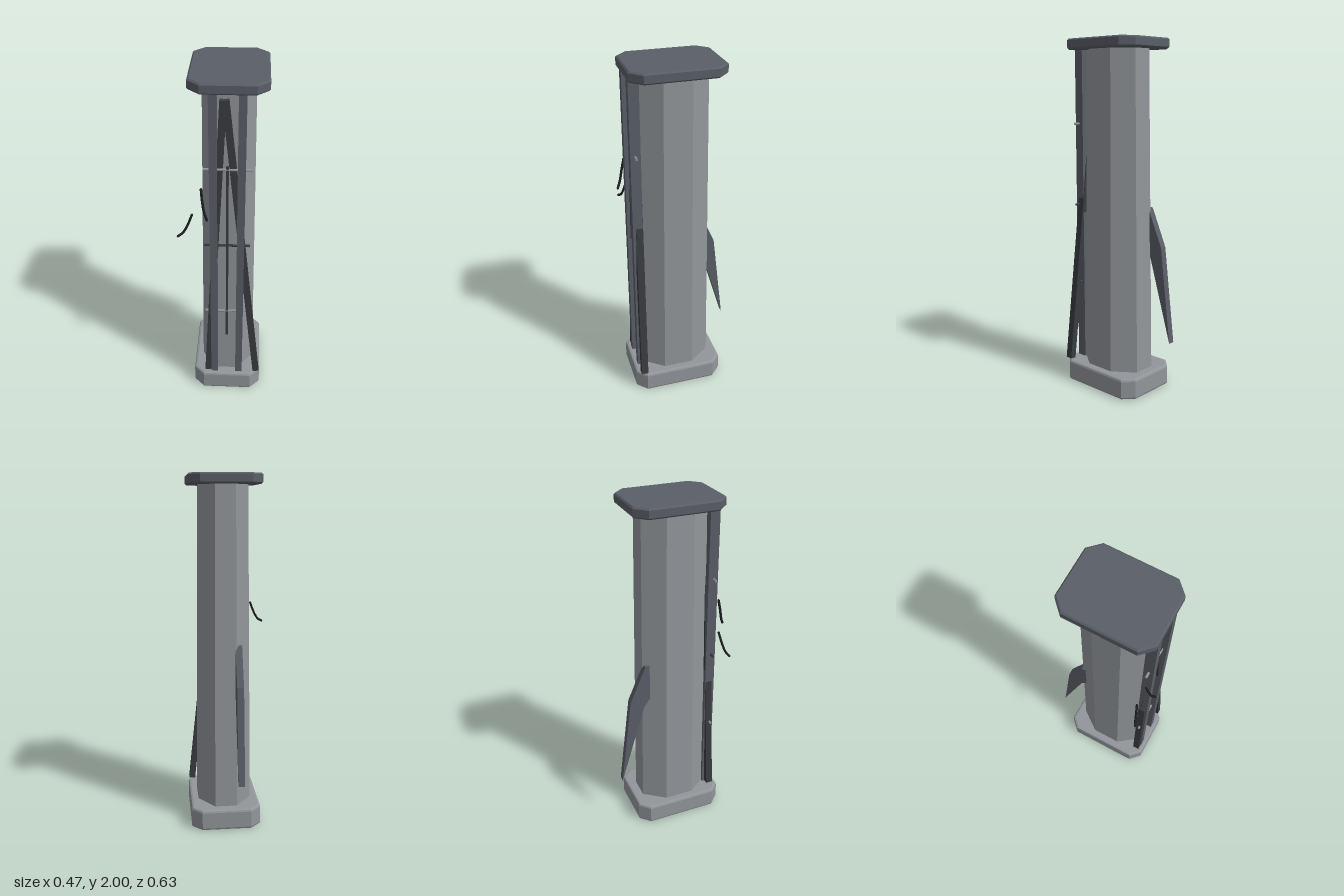
import * as THREE from 'three';

const material = (name, color, side = THREE.FrontSide) => {
  const m = new THREE.MeshStandardMaterial({ color, side });
  m.name = name;
  return m;
};

export function createModel() {
  const root = new THREE.Group();
  root.name = 'pylon';
  const stone = material('concrete grey', 0x92969a);
  const slate = material('slate metal', 0x5a5e67);
  const dark = material('dark metal', 0x3a3b40);
  const black = material('cable black', 0x1e1f22);
  const CX = 0.035, CZ = 0.033;

  const add = (name, geometry, mat) => {
    const mesh = new THREE.Mesh(geometry, mat);
    mesh.name = name;
    root.add(mesh);
    return mesh;
  };

  // Slab with cut corners and a bevelled rim
  const slab = (name, w, d, y0, y1, cut, bevel, segments, z, mat) => {
    const a = w / 2 - bevel, b = d / 2 - bevel, c = cut;
    const corners = [[a, b - c], [a - c, b], [c - a, b], [-a, b - c],
      [-a, c - b], [c - a, -b], [a - c, -b], [a, c - b]];
    const shape = new THREE.Shape(corners.map(([x, y]) => new THREE.Vector2(x, y)));
    const g = new THREE.ExtrudeGeometry(shape, {
      depth: y1 - y0 - 2 * bevel, bevelEnabled: true, bevelSize: bevel,
      bevelThickness: bevel, bevelSegments: segments,
    });
    g.rotateX(-Math.PI / 2);
    g.translate(CX, y0 + bevel, z);
    add(name, g, mat);
  };
  slab('base', 0.4, 0.536, 0, 0.122, 0.05, 0.014, 2, CZ, stone);
  slab('cap', 0.4, 0.51, 1.944, 2, 0.058, 0.008, 1, 0.03, slate);

  // Tapered eight-sided column
  const k = Math.cos(Math.PI / 8);
  const column = new THREE.CylinderGeometry(0.185 / k, 0.21 / k, 1.84, 8, 1).toNonIndexed();
  column.rotateY(Math.PI / 8);
  column.scale(0.735, 1, 1);
  column.translate(CX, 1.03, CZ);
  column.computeVertexNormals();
  add('column', column, stone);

  // Front rails
  for (const x of [-0.04, 0.106]) {
    const rail = add('rail', new THREE.BoxGeometry(0.04, 1.83, 0.056), slate);
    rail.position.set(x, 1.033, 0.249);
  }

  // Box beam between two points
  const beam = (name, from, to, w, d, mat) => {
    const a = new THREE.Vector3(...from), b = new THREE.Vector3(...to);
    const mesh = add(name, new THREE.BoxGeometry(w, a.distanceTo(b), d), mat);
    mesh.position.copy(a).add(b).multiplyScalar(0.5);
    mesh.quaternion.setFromUnitVectors(new THREE.Vector3(0, 1, 0), b.sub(a).normalize());
  };
  beam('rightBrace', [-0.08, 0.13, 0.255], [0.01, 1.9, 0.225], 0.036, 0.04, dark);
  beam('leftBrace', [0.212, 0.13, 0.257], [0.022, 1.9, 0.225], 0.036, 0.04, dark);
  beam('conduit', [0.033, 0.41, 0.25], [0.033, 1.55, 0.25], 0.013, 0.013, dark);

  // Cross rungs
  for (const [y, mat] of [[0.595, stone], [1.063, dark], [1.532, stone]]) {
    const rung = add('rung', new THREE.CylinderGeometry(0.007, 0.007, 0.25, 8), mat);
    rung.rotation.z = Math.PI / 2;
    rung.position.set(0.033, y, 0.251);
  }

  // Loose cable ends
  const cable = (name, points) => {
    const curve = new THREE.CatmullRomCurve3(points.map((p) => new THREE.Vector3(...p)));
    const group = new THREE.Group();
    group.name = name;
    group.add(new THREE.Mesh(new THREE.TubeGeometry(curve, 12, 0.007, 6), black));
    for (const t of [0, 1]) {
      const end = new THREE.Mesh(new THREE.SphereGeometry(0.007, 6, 4), black);
      end.position.copy(curve.getPoint(t));
      group.add(end);
    }
    root.add(group);
  };
  cable('outerCable', [[-0.155, 1.252, 0.246], [-0.18, 1.19, 0.258], [-0.205, 1.15, 0.268], [-0.23, 1.135, 0.279]]);
  cable('innerCable', [[-0.102, 1.422, 0.265], [-0.096, 1.36, 0.28], [-0.086, 1.3, 0.294], [-0.071, 1.263, 0.311]]);

  // Swept fin on the back
  const profile = [[0.13, 1.07], [0.156, 1.065], [0.25, 0.85], [0.317, 0.3], [0.167, 0.8], [0.13, 0.85]];
  const fin = new THREE.ExtrudeGeometry(
    new THREE.Shape(profile.map(([u, y]) => new THREE.Vector2(u, y))),
    { depth: 0.038, bevelEnabled: false });
  fin.rotateY(Math.PI / 2);
  fin.translate(-0.057, 0, 0);
  add('fin', fin, slate);

  return root;
}
